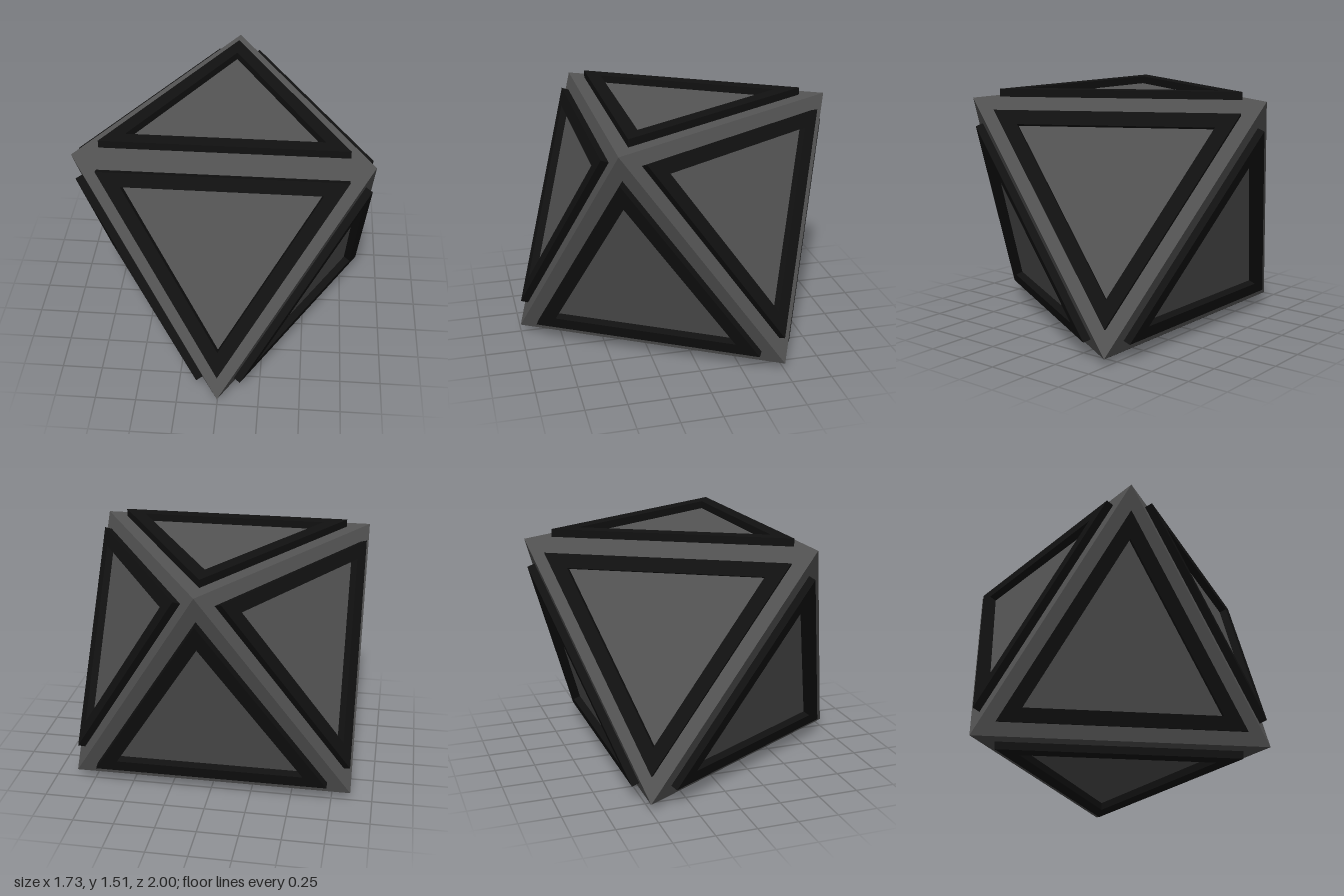
import * as THREE from 'three';

const H = Math.SQRT1_2; // half the distance between opposite faces
const RISE = 0.047; // how far each frame stands out from its face

// Equilateral triangle outline with the given circumradius, apex up
function triangle(PathType, radius) {
  const points = [0, 1, 2].map((i) => {
    const a = Math.PI / 2 + (i * 2 * Math.PI) / 3;
    return new THREE.Vector2(radius * Math.cos(a), radius * Math.sin(a));
  });
  return new PathType(points);
}

export function createModel() {
  const model = new THREE.Group();
  model.name = 'framedOctahedron';
  const bodyMaterial = new THREE.MeshStandardMaterial({ color: 0x555555, flatShading: true });
  const frameMaterial = new THREE.MeshStandardMaterial({ color: 0x111111, flatShading: true });

  // Three upper corners, mutually perpendicular about the centre
  const s = Math.sqrt(3) / 2;
  const corners = [
    new THREE.Vector3(0, H, -1),
    new THREE.Vector3(-s, H, 0.5),
    new THREE.Vector3(s, H, 0.5),
  ];

  // Solid body resting on one face
  const bodyGeometry = new THREE.OctahedronGeometry(1);
  bodyGeometry.applyMatrix4(new THREE.Matrix4().makeBasis(...corners));
  const body = new THREE.Mesh(bodyGeometry, bodyMaterial);
  body.name = 'octahedronBody';
  model.add(body);

  // Raised triangular frame, shared by all eight faces
  const outline = triangle(THREE.Shape, 0.835);
  outline.holes.push(triangle(THREE.Path, 0.667));
  const frameGeometry = new THREE.ExtrudeGeometry(outline, { depth: RISE, bevelEnabled: false });

  for (let i = 0; i < 8; i++) {
    const face = corners.map((c, k) => c.clone().multiplyScalar(i & (1 << k) ? -1 : 1));
    const centre = new THREE.Vector3();
    face.forEach((c) => centre.addScaledVector(c, 1 / 3));
    const normal = centre.clone().normalize();
    const up = face[0].clone().sub(centre).normalize();
    const right = up.clone().cross(normal);

    const frame = new THREE.Mesh(frameGeometry, frameMaterial);
    frame.name = `faceFrame${i + 1}`;
    frame.quaternion.setFromRotationMatrix(new THREE.Matrix4().makeBasis(right, up, normal));
    frame.position.copy(centre);
    model.add(frame);
  }

  // Lift so the bottom frame stands on the ground
  model.children.forEach((part) => { part.position.y += H + RISE; });
  return model;
}
